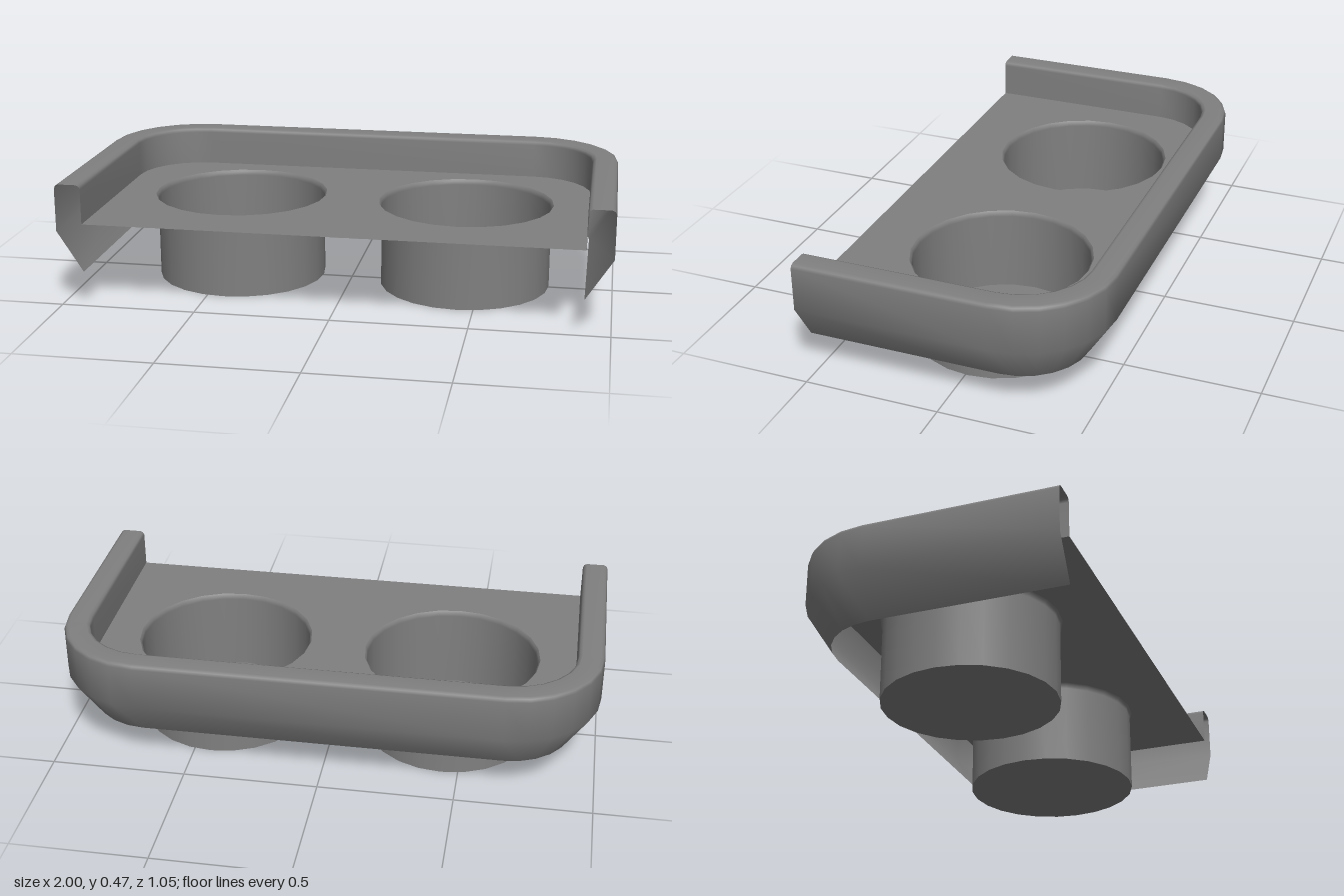
import * as THREE from 'three';

const HALF_W = 1, HALF_D = 0.523, CORNER = 0.335, WALL = 0.097;
const FLOOR_Y = 0.32, CUP_X = 0.437, CUP_Z = -0.01, CUP_R = 0.323, LIP_R = 0.332;
const SIDES = 24, CORNER_STEPS = 6;

// U-shaped outline open at the front, moved inwards by inset: [x, z] points
function outline(inset) {
  const cx = HALF_W - CORNER, cz = -HALF_D + CORNER, r = CORNER - inset;
  const points = [[HALF_W - inset, HALF_D]];
  for (const [side, start] of [[1, 0], [-1, Math.PI / 2]]) {
    for (let i = 0; i <= CORNER_STEPS; i++) {
      const a = start + (i / CORNER_STEPS) * Math.PI / 2;
      points.push([side * cx + r * Math.cos(a), cz - r * Math.sin(a)]);
    }
  }
  points.push([-HALF_W + inset, HALF_D]);
  return points;
}

// Joins rings of equal length; each section is [inset, y]
function sweep(sections) {
  const positions = [], index = [];
  const n = outline(0).length;
  for (const [inset, y] of sections) {
    for (const [x, z] of outline(inset)) positions.push(x, y, z);
  }
  for (let s = 0; s < sections.length - 1; s++) {
    for (let i = 0; i < n - 1; i++) {
      const a = s * n + i, b = a + 1, c = a + n, d = c + 1;
      index.push(a, b, c, b, d, c);
    }
  }
  const geometry = new THREE.BufferGeometry();
  geometry.setAttribute('position', new THREE.Float32BufferAttribute(positions, 3));
  geometry.setIndex(index);
  geometry.computeVertexNormals();
  return geometry;
}

export function createModel() {
  const group = new THREE.Group();
  const grey = new THREE.MeshStandardMaterial({ color: 0x808080, side: THREE.DoubleSide });
  grey.name = 'grey';
  const add = (name, geometry) => {
    const mesh = new THREE.Mesh(geometry, grey);
    mesh.name = name;
    group.add(mesh);
    return mesh;
  };

  // Hollow rim: slanted skirt, outer wall, softened top, inner wall
  add('rim', sweep([
    [WALL, 0.14], [0, 0.29], [0, 0.45], [0.005, 0.461], [0.016, 0.466],
    [WALL - 0.016, 0.466], [WALL - 0.005, 0.461], [WALL, 0.45], [WALL, FLOOR_Y],
  ]));

  // Tray floor with two round openings
  const floor = new THREE.Shape(outline(WALL).map(([x, z]) => new THREE.Vector2(x, -z)));
  for (const side of [-1, 1]) {
    const hole = [];
    for (let i = 0; i < SIDES; i++) {
      const a = (i / SIDES) * Math.PI * 2;
      hole.push(new THREE.Vector2(side * CUP_X + LIP_R * Math.cos(a), -CUP_Z + LIP_R * Math.sin(a)));
    }
    floor.holes.push(new THREE.Path(hole));
  }
  add('floor', new THREE.ShapeGeometry(floor).rotateX(-Math.PI / 2).translate(0, FLOOR_Y, 0));

  // Cups: thin wall with a small flared lip, closed by a flat base
  const wall = new THREE.LatheGeometry([
    new THREE.Vector2(CUP_R, 0), new THREE.Vector2(CUP_R, 0.3),
    new THREE.Vector2(CUP_R + 0.003, 0.313), new THREE.Vector2(LIP_R, FLOOR_Y),
  ], SIDES);
  const base = new THREE.CircleGeometry(CUP_R, SIDES).rotateX(Math.PI / 2);
  for (const [side, label] of [[1, 'left'], [-1, 'right']]) {
    add(label + 'CupWall', wall).position.set(side * CUP_X, 0, CUP_Z);
    add(label + 'CupBase', base).position.set(side * CUP_X, 0, CUP_Z);
  }
  return group;
}
